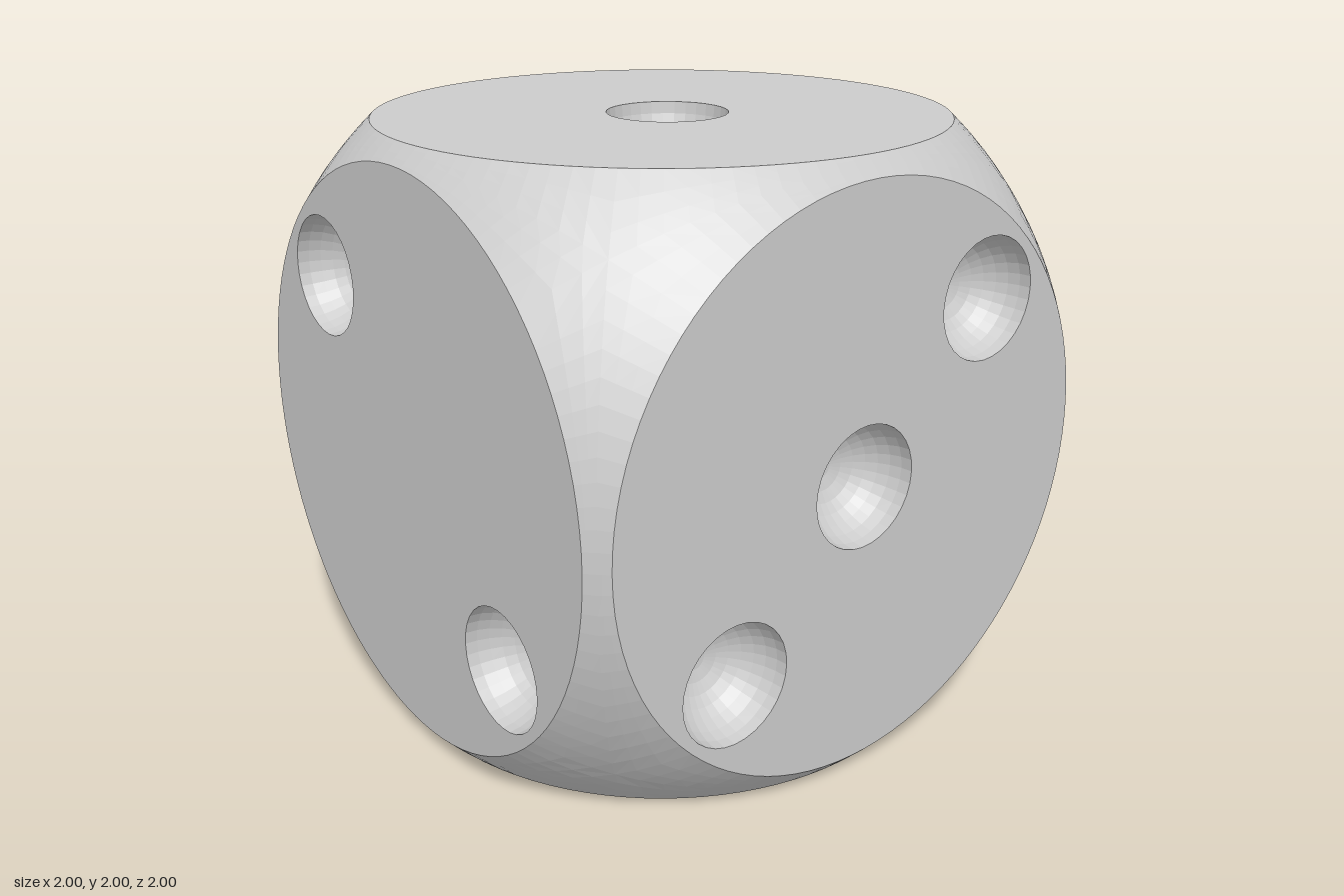
import * as THREE from 'three';

const RIM = 0.943;                    // radius of each flat face
const BALL = Math.hypot(1, RIM);      // radius of the rounding sphere
const PIP = 0.2;
const SEG = 96, PIP_SEG = 32, RINGS = 3;

const material = new THREE.MeshStandardMaterial({ color: 0xcccccc, flatShading: true });

const circle = (r, n, cx = 0, cy = 0) => Array.from({ length: n }, (_, i) => {
  const a = (i / n) * Math.PI * 2;
  return new THREE.Vector2(cx + r * Math.cos(a), cy + r * Math.sin(a));
});

// Flat disc with a round opening for every pip
function faceGeometry(pips) {
  const shape = new THREE.Shape(circle(RIM, SEG));
  for (const [x, y] of pips) shape.holes.push(new THREE.Path(circle(PIP, PIP_SEG, x, y)));
  return new THREE.ShapeGeometry(shape);
}

// Spherical surround from the disc rim out to the borders with the neighbouring faces
function surroundGeometry() {
  const positions = [], index = [];
  for (let j = 0; j <= RINGS; j++) {
    for (let i = 0; i < SEG; i++) {
      const a = (i / SEG) * Math.PI * 2, c = Math.cos(a), s = Math.sin(a);
      const border = 1 / Math.max(Math.abs(c), Math.abs(s));
      const r = THREE.MathUtils.lerp(RIM, border, j / RINGS);
      const p = new THREE.Vector3(c * r, s * r, 1).setLength(BALL);
      positions.push(p.x, p.y, p.z);
      if (j < RINGS) {
        const k = (i + 1) % SEG, a0 = j * SEG, b0 = a0 + SEG;
        index.push(a0 + i, b0 + i, b0 + k, a0 + i, b0 + k, a0 + k);
      }
    }
  }
  const g = new THREE.BufferGeometry();
  g.setAttribute('position', new THREE.Float32BufferAttribute(positions, 3));
  g.setIndex(index);
  g.computeVertexNormals();
  return g;
}

// Hemispherical hollow, mirrored so its inside is the visible side
function pipGeometry() {
  const g = new THREE.SphereGeometry(PIP, PIP_SEG, 8, 0, Math.PI * 2, 0, Math.PI / 2);
  g.rotateX(-Math.PI / 2).scale(-1, 1, 1);
  g.computeVertexNormals();
  return g;
}

export function createModel() {
  const die = new THREE.Group();
  die.name = 'die';
  const Q = Math.PI / 2, h = 0.5;
  const diagonal = [[h, h], [-h, -h]], antiDiagonal = [[-h, h], [h, -h]];
  const corners = [...diagonal, ...antiDiagonal];

  // name, rotation about x and y, pip centres on the face
  const faces = [
    ['topFace', -Q, 0, [[0, -0.03]]],
    ['rightwardFaceTwo', 0, -Q, antiDiagonal],
    ['frontFace', 0, 0, [[0, 0], ...diagonal]],
    ['backFace', 0, 2 * Q, corners],
    ['leftwardFaceFive', 0, Q, [[0, 0], ...corners]],
    ['bottomFace', Q, 0, [...corners, [0, h], [0, -h]]],
  ];

  const surround = surroundGeometry(), hollow = pipGeometry();
  for (const [name, rx, ry, pips] of faces) {
    const face = new THREE.Group();
    face.name = name;
    const add = (part, geometry, x = 0, y = 0, z = 0) => {
      const mesh = new THREE.Mesh(geometry, material);
      mesh.name = part;
      mesh.position.set(x, y, z);
      face.add(mesh);
    };
    add('flatDisc', faceGeometry(pips), 0, 0, 1);
    add('roundedSurround', surround);
    for (const [x, y] of pips) add('pip', hollow, x, y, 1);
    face.rotation.set(rx, ry, 0);
    face.position.y = 1;
    die.add(face);
  }
  return die;
}
